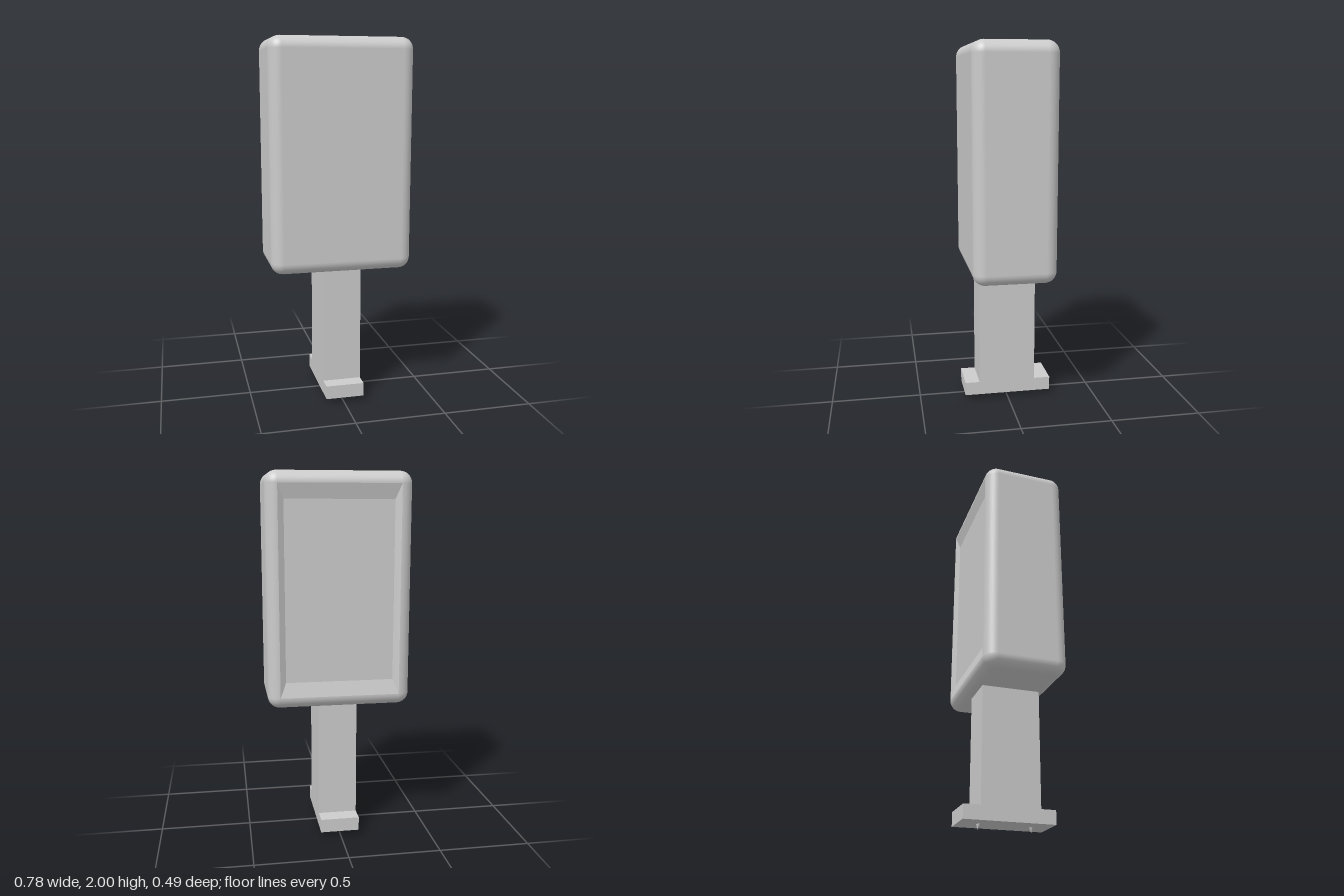
import * as THREE from 'three';
import { RoundedBoxGeometry } from 'three/addons/geometries/RoundedBoxGeometry.js';

const W = 0.78, H = 1.257, D = 0.45, R = 0.065;

export function createModel() {
  const model = new THREE.Group();
  const smooth = new THREE.MeshStandardMaterial({ color: 0xcccccc });
  const flat = new THREE.MeshStandardMaterial({ color: 0xcccccc, flatShading: true });

  const add = (name, geometry, material, x, y, z, parent = model) => {
    const mesh = new THREE.Mesh(geometry, material);
    mesh.name = name;
    mesh.position.set(x, y, z);
    parent.add(mesh);
    return mesh;
  };

  // Rounded housing with a shallow dished panel in its back
  const housing = new THREE.Group();
  housing.name = 'housing';
  housing.position.set(0, 1.3715, 0.002);
  model.add(housing);
  add('housingShell', openBackShell(), smooth, 0, 0, 0, housing);
  add('backPanel', recessedPanel(), flat, 0, 0, 0, housing);

  // Post and foot plate
  add('post', new THREE.BoxGeometry(0.214, 0.66, 0.32), flat, 0.005, 0.43, 0.005);
  add('footPlate', new THREE.BoxGeometry(0.214, 0.075, 0.493), flat, 0.005, 0.0665, 0);

  // Small spikes under the foot, tips leaning outward
  for (const side of [1, -1]) {
    const cone = new THREE.ConeGeometry(0.024, 0.03, 4, 1);
    cone.rotateX(Math.PI).scale(1, 1, 0.45);
    const p = cone.attributes.position;
    for (let i = 0; i < p.count; i++) {
      if (p.getY(i) < 0) p.setZ(i, p.getZ(i) + side * 0.004);
    }
    add(side > 0 ? 'frontSpike' : 'backSpike', cone, flat, 0.002, 0.015, side * 0.141 + 0.003);
  }
  return model;
}

// Rounded box without the flat part of its back face
function openBackShell() {
  const geometry = new RoundedBoxGeometry(W, H, D, 6, R);
  const p = geometry.attributes.position;
  const keep = [];
  for (let i = 0; i < p.count; i += 3) {
    const onBack = [0, 1, 2].every(k => p.getZ(i + k) < -D / 2 + 1e-5);
    if (!onBack) keep.push(i, i + 1, i + 2);
  }
  geometry.clearGroups();
  geometry.setIndex(keep);
  return geometry;
}

// Four sloping borders and a floor between two rectangular loops
function recessedPanel() {
  const loop = (x, y, z) => [[x, -y, z], [-x, -y, z], [-x, y, z], [x, y, z]];
  const outer = loop(W / 2 - R, H / 2 - R, -D / 2);
  const inner = loop(W / 2 - R - 0.032, H / 2 - R - 0.08, -D / 2 + 0.02);
  const index = [4, 5, 6, 4, 6, 7];
  for (let i = 0; i < 4; i++) {
    const j = (i + 1) % 4;
    index.push(i, j, j + 4, i, j + 4, i + 4);
  }
  const geometry = new THREE.BufferGeometry();
  geometry.setAttribute('position', new THREE.Float32BufferAttribute([...outer, ...inner].flat(), 3));
  geometry.setIndex(index);
  const faceted = geometry.toNonIndexed();
  faceted.computeVertexNormals();
  return faceted;
}
